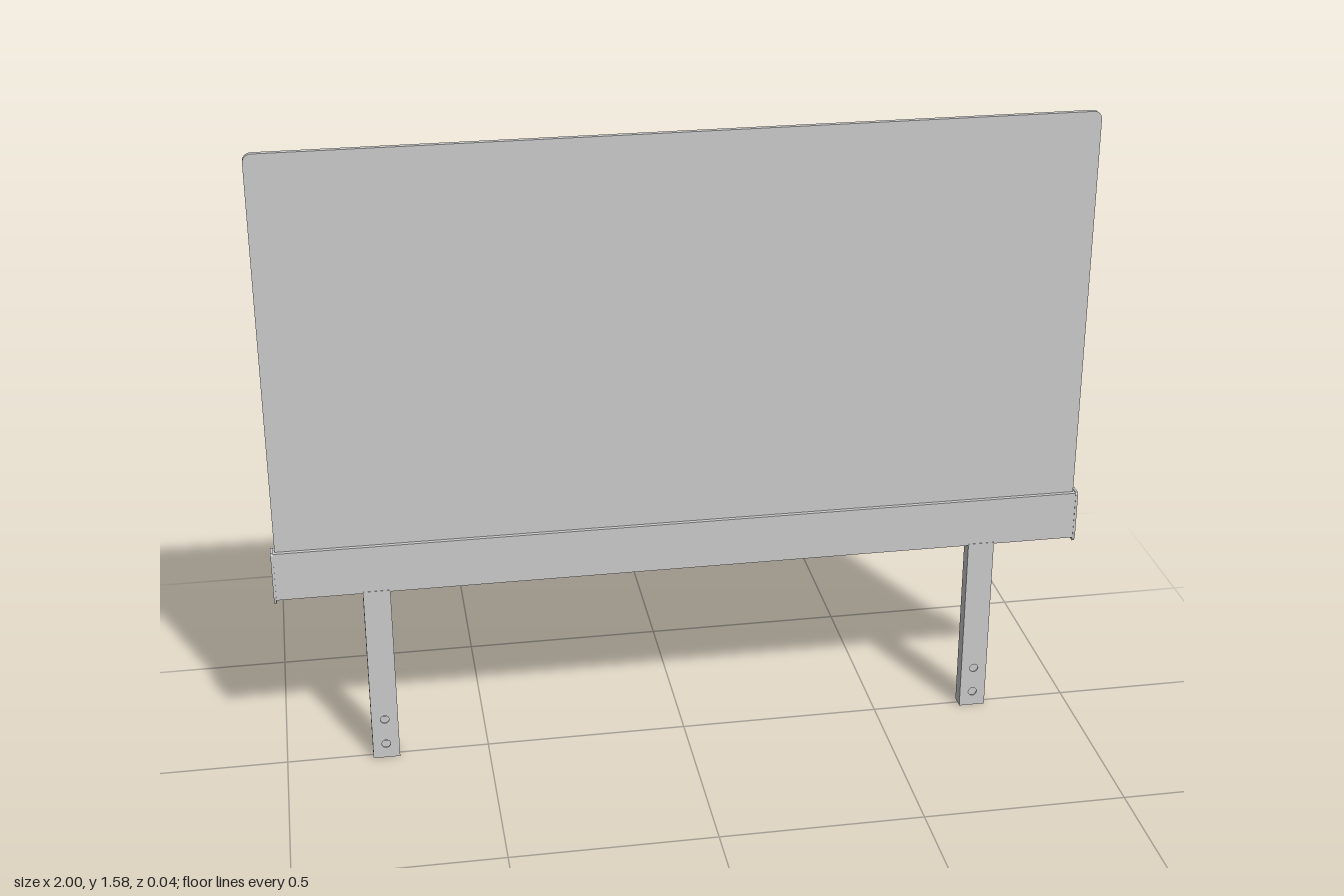
import * as THREE from 'three';

const material = new THREE.MeshStandardMaterial({ color: 0xcccccc });

function addMesh(parent, name, geometry, x = 0, y = 0, z = 0) {
  const mesh = new THREE.Mesh(geometry, material);
  mesh.name = name;
  mesh.position.set(x, y, z);
  parent.add(mesh);
  return mesh;
}

// Extrusion centred on z = 0
function plate(shape, depth) {
  const geometry = new THREE.ExtrudeGeometry(shape, { depth, bevelEnabled: false, curveSegments: 10 });
  return geometry.translate(0, 0, -depth / 2);
}

// Profile drawn in (z, y), extruded along x and centred
function alongX(points, length) {
  const shape = new THREE.Shape(points.map(([z, y]) => new THREE.Vector2(-z, y)));
  return plate(shape, length).rotateY(Math.PI / 2);
}

function panelShape(halfWidth, bottom, top, r) {
  const s = new THREE.Shape();
  s.moveTo(-halfWidth, bottom);
  s.lineTo(halfWidth, bottom);
  s.lineTo(halfWidth, top - r);
  s.absarc(halfWidth - r, top - r, r, 0, Math.PI / 2);
  s.lineTo(-halfWidth + r, top);
  s.absarc(-halfWidth + r, top - r, r, Math.PI / 2, Math.PI);
  s.closePath();
  return s;
}

// Hollow rectangular leg with two bolt holes through front and back
function createLeg(name, x) {
  const leg = new THREE.Group();
  leg.name = name;
  leg.position.x = x;
  const w = 0.066, d = 0.036, h = 0.47, wall = 0.004;
  const face = new THREE.Shape([
    new THREE.Vector2(-w / 2, 0), new THREE.Vector2(w / 2, 0),
    new THREE.Vector2(w / 2, h), new THREE.Vector2(-w / 2, h),
  ]);
  for (const y of [0.039, 0.109]) {
    face.holes.push(new THREE.Path().absarc(0, y, 0.011, 0, Math.PI * 2, true));
  }
  for (const side of [1, -1]) {
    addMesh(leg, side > 0 ? 'legFrontWall' : 'legBackWall', plate(face, wall), 0, 0, side * (d - wall) / 2);
    addMesh(leg, 'legSideWall', new THREE.BoxGeometry(wall, h, d - 2 * wall), side * (w - wall) / 2, h / 2, 0);
  }
  return leg;
}

export function createModel() {
  const model = new THREE.Group();
  model.name = 'panelOnLegs';

  // Thin upright panel with rounded top corners
  addMesh(model, 'panel', plate(panelShape(0.99, 0.5, 1.577, 0.02), 0.013));

  // Bottom rail holding the panel
  const rail = [[-0.017, 0.466], [0.017, 0.466], [0.017, 0.59], [-0.017, 0.59]];
  addMesh(model, 'rail', alongX(rail, 1.99));

  // End caps, tapered towards their lower edge
  const cap = [
    [-0.014, 0.456], [0.014, 0.456], [0.018, 0.475], [0.018, 0.585],
    [0.015, 0.592], [-0.015, 0.592], [-0.018, 0.585], [-0.018, 0.475],
  ];
  for (const side of [1, -1]) {
    addMesh(model, side > 0 ? 'leftEndCap' : 'rightEndCap', alongX(cap, 0.006), side * 0.997);
    model.add(createLeg(side > 0 ? 'leftLeg' : 'rightLeg', side * 0.755));
  }
  return model;
}
